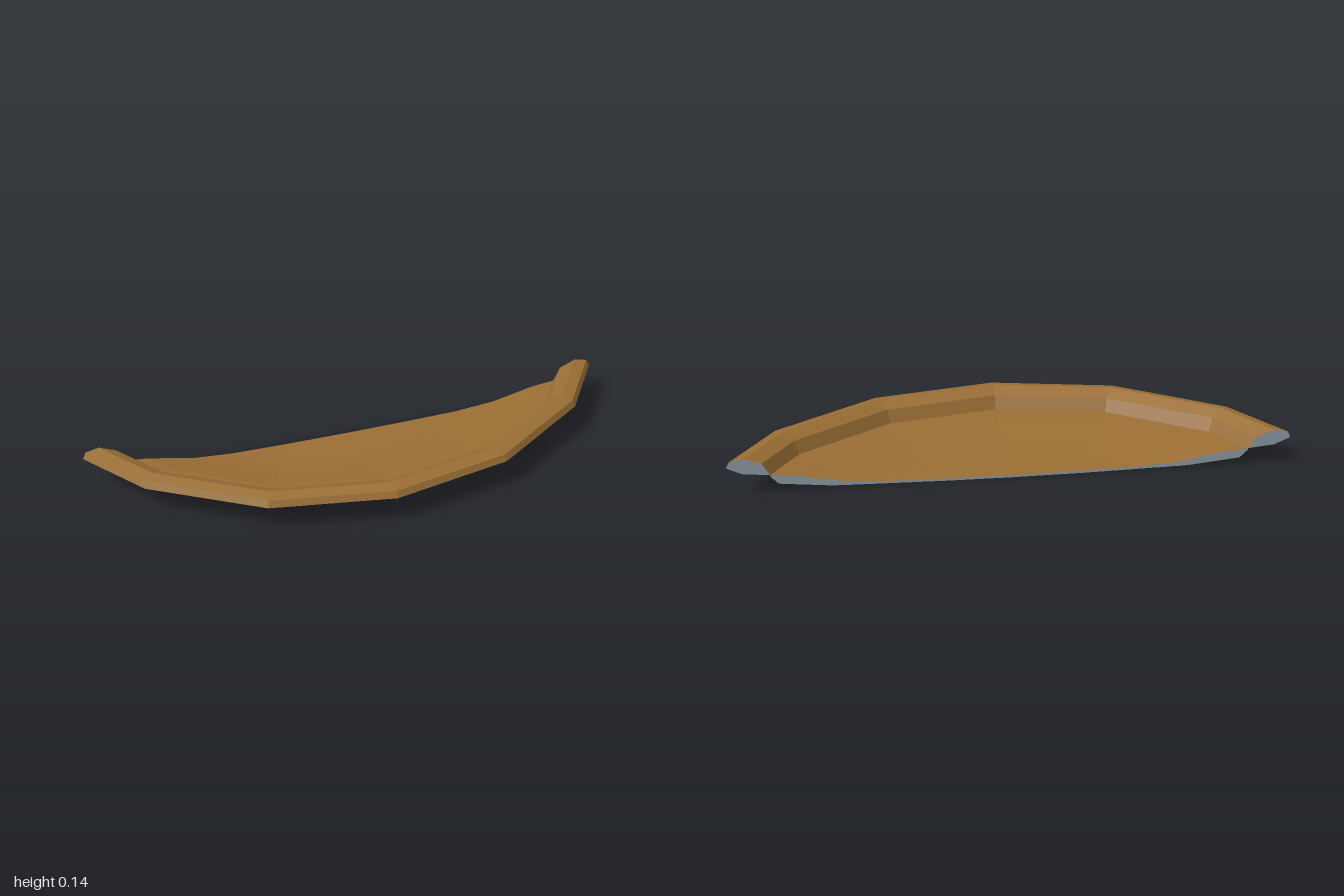
import * as THREE from 'three';

const SIDES = 16;          // facets of the full round form
const CENTRE_Z = -0.8715;  // axis of the full round form

// Profiles as [radius, height], counter-clockwise
const RIM = [[1.047, 0.067], [1.127, 0.077], [1.1715, 0.104], [1.16, 0.128], [1.117, 0.138], [1.067, 0.115], [1.047, 0.067]];
const DISH = [[0.5, 0], [0.59, 0.001], [0.87, 0.01], [1.026, 0.03], [1.047, 0.06], [1.047, 0.067],
  [0.97, 0.058], [0.84, 0.027], [0.75, 0.015], [0.5, 0.008]];

// Slanted break plane: positive values are kept
const side = (p) => p.z + 0.2806 + 0.141 * p.y;

function meshFrom(points, material, name) {
  const geometry = new THREE.BufferGeometry().setFromPoints(points);
  geometry.computeVertexNormals();
  const mesh = new THREE.Mesh(geometry, material);
  mesh.name = name;
  return mesh;
}

// Clip a convex face by the break plane; note the cut edge
function clip(face, cuts) {
  const out = [];
  let enter, exit;
  face.forEach((p, i) => {
    const q = face[(i + 1) % face.length];
    const a = side(p), b = side(q);
    if (a >= 0) out.push(p);
    if ((a >= 0) !== (b >= 0)) {
      const hit = p.clone().lerp(q, a / (a - b));
      out.push(hit);
      if (a >= 0) exit = hit; else enter = hit;
    }
  });
  if (enter && exit && enter.distanceTo(exit) > 1e-6) cuts.push([enter, exit]);
  return out;
}

// Join the cut edges into closed loops
function joinLoops(cuts) {
  const loops = [];
  while (cuts.length) {
    const [start, second] = cuts.pop();
    const loop = [start];
    let end = second;
    while (end.distanceTo(start) > 1e-5) {
      const i = cuts.findIndex((c) => c[0].distanceTo(end) < 1e-5);
      if (i < 0) break;
      loop.push(end);
      end = cuts.splice(i, 1)[0][1];
    }
    if (loop.length > 2) loops.push(loop);
  }
  return loops;
}

// Revolve a profile, break it off at the plane and cap the break
function shard(profile, name, material, breakMaterial) {
  const at = ([r, y], k) => {
    const t = k * Math.PI * 2 / SIDES;
    return new THREE.Vector3(r * Math.sin(t), y, CENTRE_Z + r * Math.cos(t));
  };
  const surface = [], cap = [], cuts = [];
  for (let k = -4; k < 4; k++) {
    for (let i = 0; i < profile.length - 1; i++) {
      const p = profile[i], q = profile[i + 1];
      const face = clip([at(p, k), at(p, k + 1), at(q, k + 1), at(q, k)], cuts);
      for (let j = 1; j < face.length - 1; j++) surface.push(face[0], face[j], face[j + 1]);
    }
  }
  for (const loop of joinLoops(cuts)) {
    const flat = loop.map((p) => new THREE.Vector2(p.x, p.y));
    for (const [a, b, c] of THREE.ShapeUtils.triangulateShape(flat, [])) {
      const facesFront = THREE.ShapeUtils.area([flat[a], flat[b], flat[c]]) > 0;
      cap.push(loop[a], loop[facesFront ? c : b], loop[facesFront ? b : c]);
    }
  }
  const group = new THREE.Group();
  group.name = name;
  group.add(meshFrom(surface, material, name + 'Surface'), meshFrom(cap, breakMaterial, name + 'BrokenEdge'));
  return group;
}

export function createModel() {
  const brown = new THREE.MeshStandardMaterial({ color: 0x9a6e34 });
  brown.name = 'brown';
  const grey = new THREE.MeshStandardMaterial({ color: 0x98a6ae });
  grey.name = 'grey';

  const model = new THREE.Group();
  model.name = 'brokenDish';
  model.add(shard(RIM, 'rim', brown, grey), shard(DISH, 'dish', brown, grey));
  return model;
}
